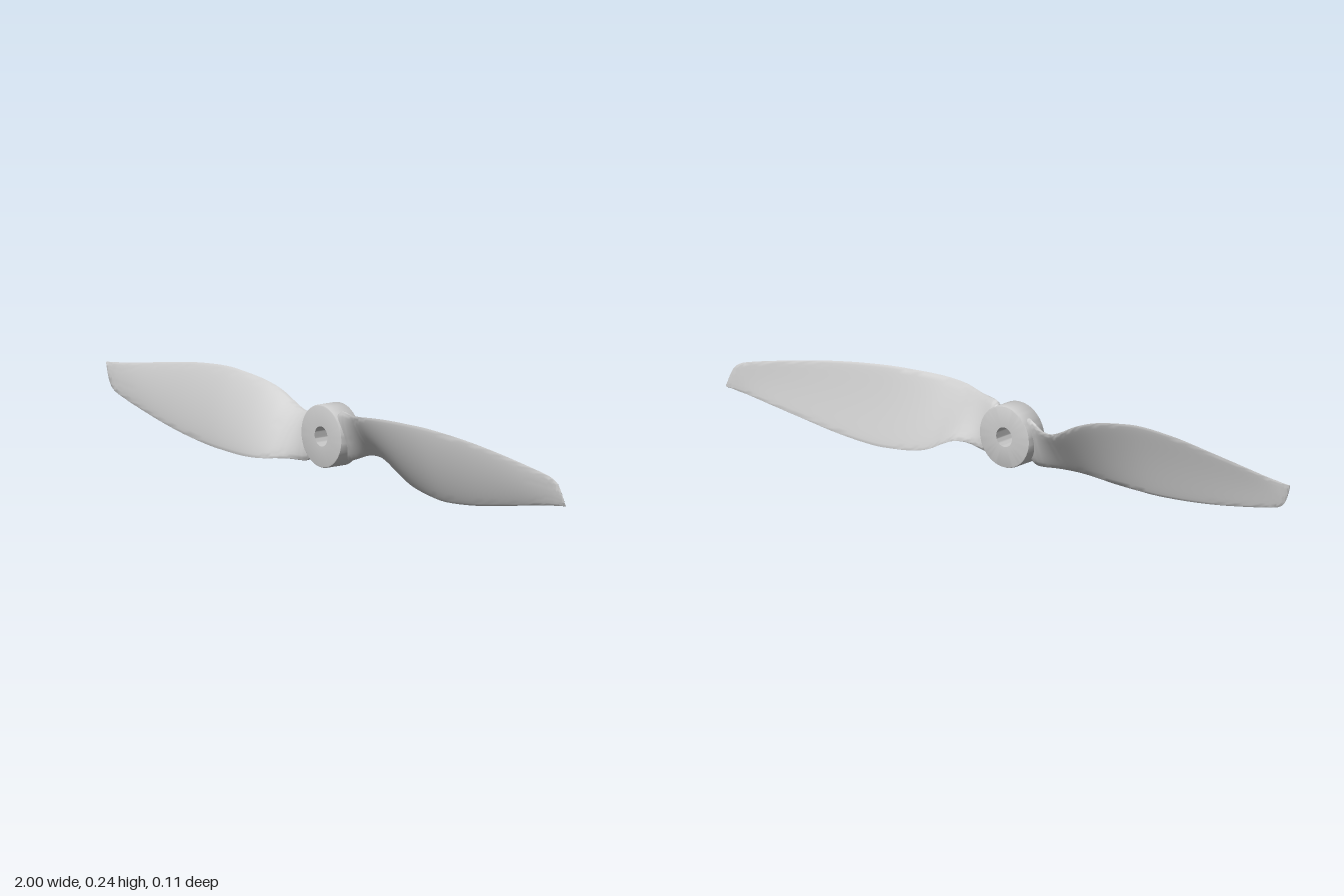
import * as THREE from 'three';
import { toCreasedNormals } from 'three/addons/utils/BufferGeometryUtils.js';

const CENTER_Y = 0.119;

// Blade stations: x, top edge y, bottom edge y, top edge z, bottom edge z, half thickness, camber
const STATIONS = [
  [0.055, 0.185, 0.065, 0.005, -0.024, 0.018, 0.0],
  [0.07, 0.197, 0.056, 0.008, -0.028, 0.018, 0.0],
  [0.09, 0.201, 0.062, 0.013, -0.033, 0.016, 0.002],
  [0.13, 0.201, 0.077, 0.026, -0.047, 0.012, 0.004],
  [0.17, 0.204, 0.077, 0.04, -0.056, 0.01, 0.005],
  [0.21, 0.209, 0.062, 0.051, -0.058, 0.009, 0.006],
  [0.26, 0.214, 0.037, 0.053, -0.054, 0.008, 0.007],
  [0.32, 0.217, 0.018, 0.049, -0.046, 0.008, 0.007],
  [0.4, 0.217, 0.006, 0.041, -0.038, 0.007, 0.007],
  [0.48, 0.215, 0.001, 0.032, -0.034, 0.007, 0.007],
  [0.6, 0.205, 0.01, 0.019, -0.033, 0.006, 0.006],
  [0.72, 0.189, 0.028, 0.005, -0.033, 0.005, 0.005],
  [0.84, 0.168, 0.047, -0.009, -0.033, 0.004, 0.004],
  [0.92, 0.152, 0.06, -0.019, -0.033, 0.003, 0.002],
  [0.955, 0.142, 0.064, -0.023, -0.033, 0.003, 0.001],
  [0.975, 0.128, 0.067, -0.026, -0.033, 0.002, 0.001],
  [0.988, 0.105, 0.068, -0.028, -0.033, 0.002, 0],
  [1.0, 0.073, 0.069, -0.031, -0.033, 0.001, 0],
];

function bladeGeometry() {
  const curve = (f) => new THREE.CatmullRomCurve3(
    STATIONS.map((s) => new THREE.Vector3(...f(s))), false, 'catmullrom', 0.5);
  const topEdge = curve((s) => [s[0], s[1] - CENTER_Y, s[3]]);
  const bottomEdge = curve((s) => [s[0], s[2] - CENTER_Y, s[4]]);
  const section = curve((s) => [s[0], s[5], s[6]]);
  const rings = (STATIONS.length - 1) * 4, sides = 32;
  const pos = [], index = [];

  // Twisted, cambered cross-sections from root to tip
  for (let i = 0; i <= rings; i++) {
    const t = i / rings;
    const a = topEdge.getPoint(t), b = bottomEdge.getPoint(t), s = section.getPoint(t);
    const dy = b.y - a.y, dz = b.z - a.z, len = Math.hypot(dy, dz);
    for (let k = 0; k < sides; k++) {
      const angle = (k / sides) * Math.PI * 2;
      const u = (1 - Math.cos(angle)) / 2;
      const off = s.y * Math.sin(angle) + s.z * 4 * u * (1 - u);
      pos.push(a.x, a.y + dy * u + (dz / len) * off, a.z + dz * u - (dy / len) * off);
    }
  }
  for (let i = 0; i < rings; i++) {
    for (let k = 0; k < sides; k++) {
      const p = i * sides + k, q = i * sides + ((k + 1) % sides);
      index.push(p, q, p + sides, q, q + sides, p + sides);
    }
  }
  // Root and tip caps
  const last = rings * sides;
  for (let k = 1; k < sides - 1; k++) {
    index.push(0, k + 1, k, last, last + k, last + k + 1);
  }
  const geo = new THREE.BufferGeometry();
  geo.setAttribute('position', new THREE.Float32BufferAttribute(pos, 3));
  geo.setIndex(index);
  return toCreasedNormals(geo, 1.0);
}

function hubGeometry() {
  // Ring profile (radius, z) with softened outer edges
  const bore = 0.028, R = 0.088, back = -0.049, front = 0.021, e = 0.004;
  const profile = [
    [bore, back], [R - e, back], [R - e * 0.3, back + e * 0.3], [R, back + e],
    [R, front - e], [R - e * 0.3, front - e * 0.3], [R - e, front], [bore, front], [bore, back],
  ].map(([r, z]) => new THREE.Vector2(r, z));
  return toCreasedNormals(new THREE.LatheGeometry(profile, 64).rotateX(Math.PI / 2), 0.5);
}

export function createModel() {
  const propeller = new THREE.Group();
  propeller.name = 'propeller';
  propeller.position.y = CENTER_Y;
  const material = new THREE.MeshStandardMaterial({ color: 0xcccccc });

  const hub = new THREE.Mesh(hubGeometry(), material);
  hub.name = 'hub';
  propeller.add(hub);

  // Two identical blades, half a turn apart
  const blade = bladeGeometry();
  ['leftBlade', 'rightBlade'].forEach((name, i) => {
    const mesh = new THREE.Mesh(blade, material);
    mesh.name = name;
    mesh.rotation.z = i * Math.PI;
    propeller.add(mesh);
  });

  const model = new THREE.Group();
  model.name = 'model';
  model.add(propeller);
  return model;
}
